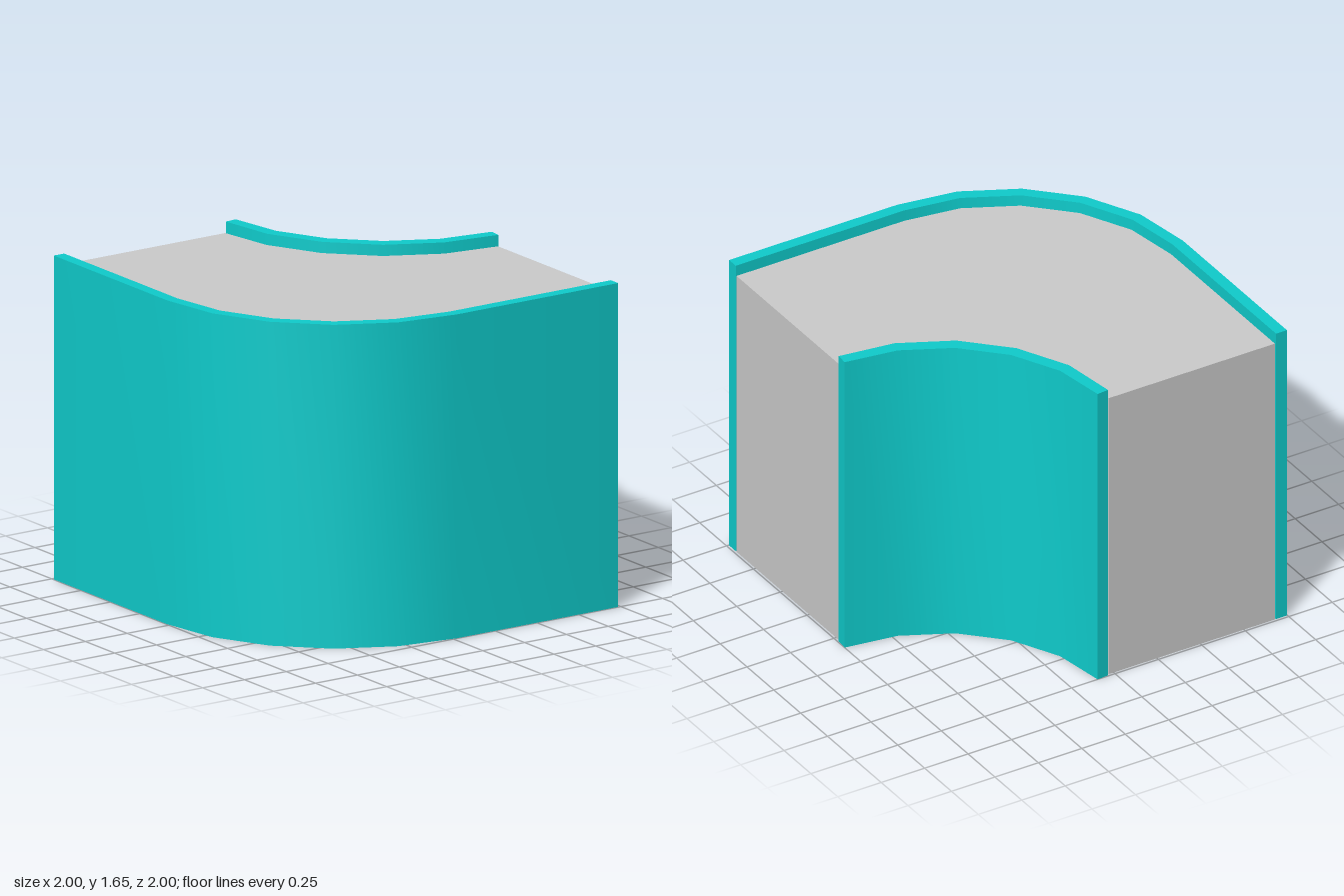
import * as THREE from 'three';
import { toCreasedNormals } from 'three/addons/utils/BufferGeometryUtils.js';

const HEIGHT = 1.65;
const CORE_HEIGHT = 1.595;
const SEGMENTS = 5;

// Quarter arc in plan (x, z), running from +z round to +x
function arc(cx, cz, radius) {
  const points = [];
  for (let i = 0; i <= SEGMENTS; i++) {
    const a = (i / SEGMENTS) * Math.PI / 2;
    points.push([cx + radius * Math.sin(a), cz + radius * Math.cos(a)]);
  }
  return points;
}

// Convex outer bend with straight runs to both cut ends
const outerLine = (radius, end) => {
  const c = -0.02;
  return [[end, c + radius], ...arc(c, c, radius), [c + radius, end]];
};

// Concave inner bend
const innerLine = (radius) => arc(-1, -1, radius);

// Raise a plan outline to a prism, smooth round the bends and sharp at corners
function prism(name, outline, height, color) {
  const shape = new THREE.Shape(outline.map(([x, z]) => new THREE.Vector2(x, -z)));
  const geometry = new THREE.ExtrudeGeometry(shape, { depth: height, bevelEnabled: false });
  geometry.rotateX(-Math.PI / 2);
  const mesh = new THREE.Mesh(
    toCreasedNormals(geometry, Math.PI / 6),
    new THREE.MeshStandardMaterial({ color })
  );
  mesh.name = name;
  return mesh;
}

export function createModel() {
  const group = new THREE.Group();
  group.name = 'curvedWallCorner';
  const teal = 0x0fcccc;

  // Outer facing panel
  const outerPanel = [...outerLine(1.017, -0.987), ...outerLine(0.955, -0.987).reverse()];
  group.add(prism('outerPanel', outerPanel, HEIGHT, teal));

  // Inner facing panel, its ends cut slightly askew
  const back = innerLine(0.968);
  back[0] = [-0.995, -0.037];
  back[SEGMENTS] = [-0.037, -0.995];
  const innerPanel = [...innerLine(0.9), ...back.reverse()];
  group.add(prism('innerPanel', innerPanel, HEIGHT, teal));

  // Core between the panels, lower than their rims
  const coreBack = innerLine(0.975);
  coreBack[0] = [-0.987, -0.028];
  coreBack[SEGMENTS] = [-0.028, -0.987];
  const core = [...outerLine(0.948, -0.987), ...coreBack.reverse()];
  group.add(prism('core', core, CORE_HEIGHT, 0xcccccc));

  return group;
}
